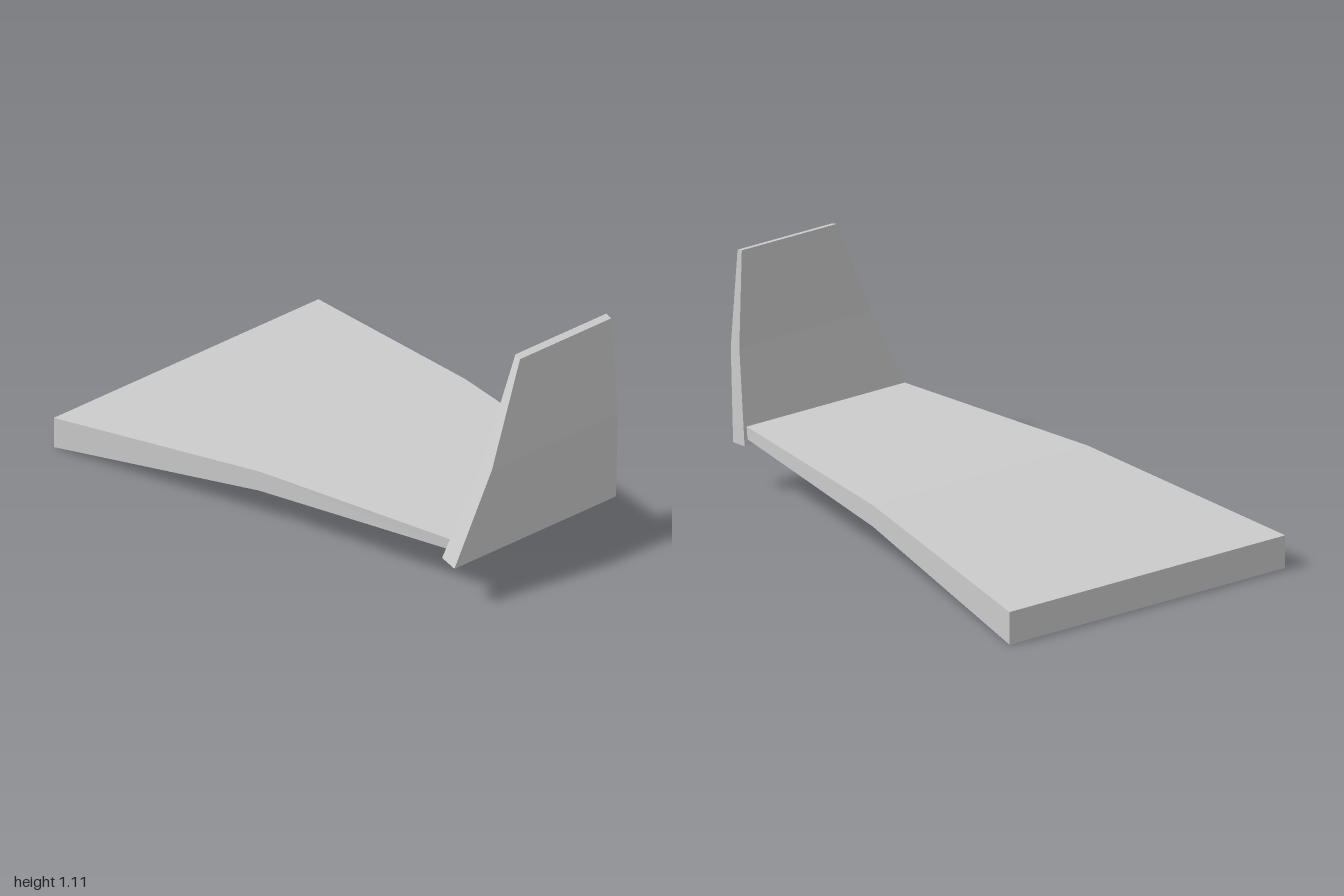
import * as THREE from 'three';

// Skin a row of four-cornered sections; corners run counter-clockwise seen from the last section.
function loft(name, sections) {
  const pos = [];
  const quad = (a, b, c, d) => pos.push(...a, ...b, ...c, ...a, ...c, ...d);
  for (let i = 0; i < sections.length - 1; i++) {
    const s = sections[i], t = sections[i + 1];
    for (let j = 0; j < 4; j++) {
      const k = (j + 1) % 4;
      quad(s[j], s[k], t[k], t[j]);
    }
  }
  const first = sections[0];
  quad(first[3], first[2], first[1], first[0]);
  quad(...sections[sections.length - 1]);

  const geometry = new THREE.BufferGeometry();
  geometry.setAttribute('position', new THREE.Float32BufferAttribute(pos, 3));
  geometry.computeVertexNormals();
  const mesh = new THREE.Mesh(geometry, new THREE.MeshStandardMaterial({ color: 0xcccccc, flatShading: true }));
  mesh.name = name;
  return mesh;
}

// Wing section: x and height of the lower and upper edge, leading edge z
const wingSection = (xLow, low, xHigh, high, front, back = -0.695) => [
  [xLow, low, front], [xLow, low, back], [xHigh, high, back], [xHigh, high, front],
];

// Winglet section: inner and outer x with their heights, leading edge z
const wingletSection = (xIn, yIn, xOut, yOut, front, back = -0.71) => [
  [xIn, yIn, front], [xOut, yOut, front], [xOut, yOut, back], [xIn, yIn, back],
];

export function createModel() {
  const group = new THREE.Group();
  group.name = 'wingWithWinglet';

  // Tapered wing panel, bent upward at mid span
  group.add(loft('wing', [
    wingSection(-1, 0, -1, 0.148, 0.708),
    wingSection(-0.01, 0.185, -0.01, 0.282, 0.398),
    wingSection(0.9, 0.26, 0.907, 0.315, 0.11),
  ]));

  // Upright fin at the tip, leaning out and then back in
  group.add(loft('winglet', [
    wingletSection(0.9, 0.231, 0.983, 0.221, 0.145),
    wingletSection(0.938, 0.665, 1, 0.65, -0.04),
    wingletSection(0.92, 1.114, 0.951, 1.106, -0.228),
  ]));

  return group;
}
